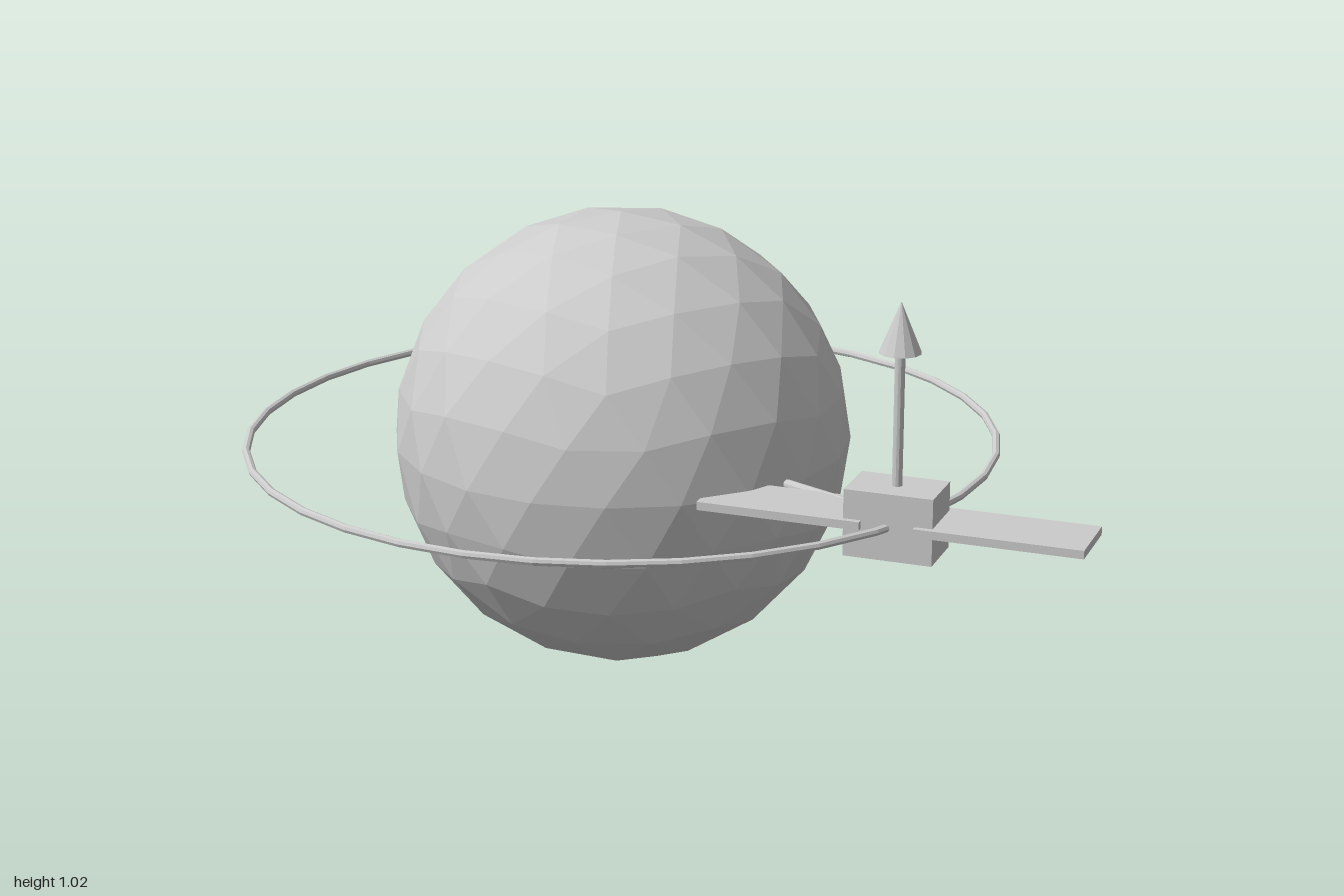
import * as THREE from 'three';

const material = new THREE.MeshStandardMaterial({ color: 0xcccccc, flatShading: true });

function add(parent, name, geometry, x = 0, y = 0, z = 0) {
  const mesh = new THREE.Mesh(geometry, material);
  mesh.name = name;
  mesh.position.set(x, y, z);
  parent.add(mesh);
  return mesh;
}

// Icosphere with a vertex at each pole, refined by repeated halving of the edges
function icosphere(radius, steps) {
  const ring = (y, turn) => Array.from({ length: 5 }, (_, i) => {
    const a = (i * 2 + turn) * Math.PI / 5;
    const r = Math.sqrt(1 - y * y);
    return new THREE.Vector3(r * Math.cos(a), y, -r * Math.sin(a));
  });
  const top = new THREE.Vector3(0, 1, 0), bottom = new THREE.Vector3(0, -1, 0);
  const h = 1 / Math.sqrt(5), upper = ring(h, 0), lower = ring(-h, 1);
  let faces = [];
  for (let i = 0; i < 5; i++) {
    const j = (i + 1) % 5;
    faces.push([top, upper[i], upper[j]], [upper[i], lower[i], upper[j]],
      [upper[j], lower[i], lower[j]], [bottom, lower[j], lower[i]]);
  }
  const mid = (a, b) => a.clone().add(b).normalize();
  for (let s = 0; s < steps; s++) {
    faces = faces.flatMap(([a, b, c]) => {
      const ab = mid(a, b), bc = mid(b, c), ca = mid(c, a);
      return [[a, ab, ca], [ab, b, bc], [ca, bc, c], [ab, bc, ca]];
    });
  }
  const geometry = new THREE.BufferGeometry().setFromPoints(faces.flat());
  geometry.scale(radius, radius, radius);
  geometry.computeVertexNormals();
  return geometry;
}

// Arrow along +y, starting at its own origin
function arrow(name) {
  const group = new THREE.Group();
  group.name = name;
  add(group, name + 'Shaft', new THREE.CylinderGeometry(0.011, 0.011, 0.36, 12), 0, 0.18, 0);
  add(group, name + 'Head', new THREE.ConeGeometry(0.044, 0.107, 12), 0, 0.408, 0);
  return group;
}

export function createModel() {
  const model = new THREE.Group();
  model.name = 'planetWithSatellite';
  const centre = new THREE.Vector3(-0.154, 0.511, 0);

  // Planet and orbit
  add(model, 'planet', icosphere(0.511, 2), ...centre.toArray());
  const orbit = new THREE.TorusGeometry(0.837, 0.009, 8, 36).rotateX(Math.PI / 2);
  add(model, 'orbitRing', orbit, ...centre.toArray());

  // Satellite body with a solar panel on each side
  const satellite = new THREE.Group();
  satellite.name = 'satellite';
  satellite.position.set(0.588, 0.513, 0.331);
  model.add(satellite);
  add(satellite, 'satelliteBody', new THREE.BoxGeometry(0.19, 0.144, 0.124));
  for (const side of [-1, 1]) {
    add(satellite, side > 0 ? 'leftSolarPanel' : 'rightSolarPanel',
      new THREE.BoxGeometry(0.354, 0.018, 0.154), side * 0.234, 0, -0.002);
  }

  // One arrow points up, the other towards the planet's centre
  satellite.add(arrow('upArrow'));
  const inward = arrow('planetArrow');
  const direction = centre.clone().sub(satellite.position).normalize();
  inward.quaternion.setFromUnitVectors(new THREE.Vector3(0, 1, 0), direction);
  satellite.add(inward);

  return model;
}
